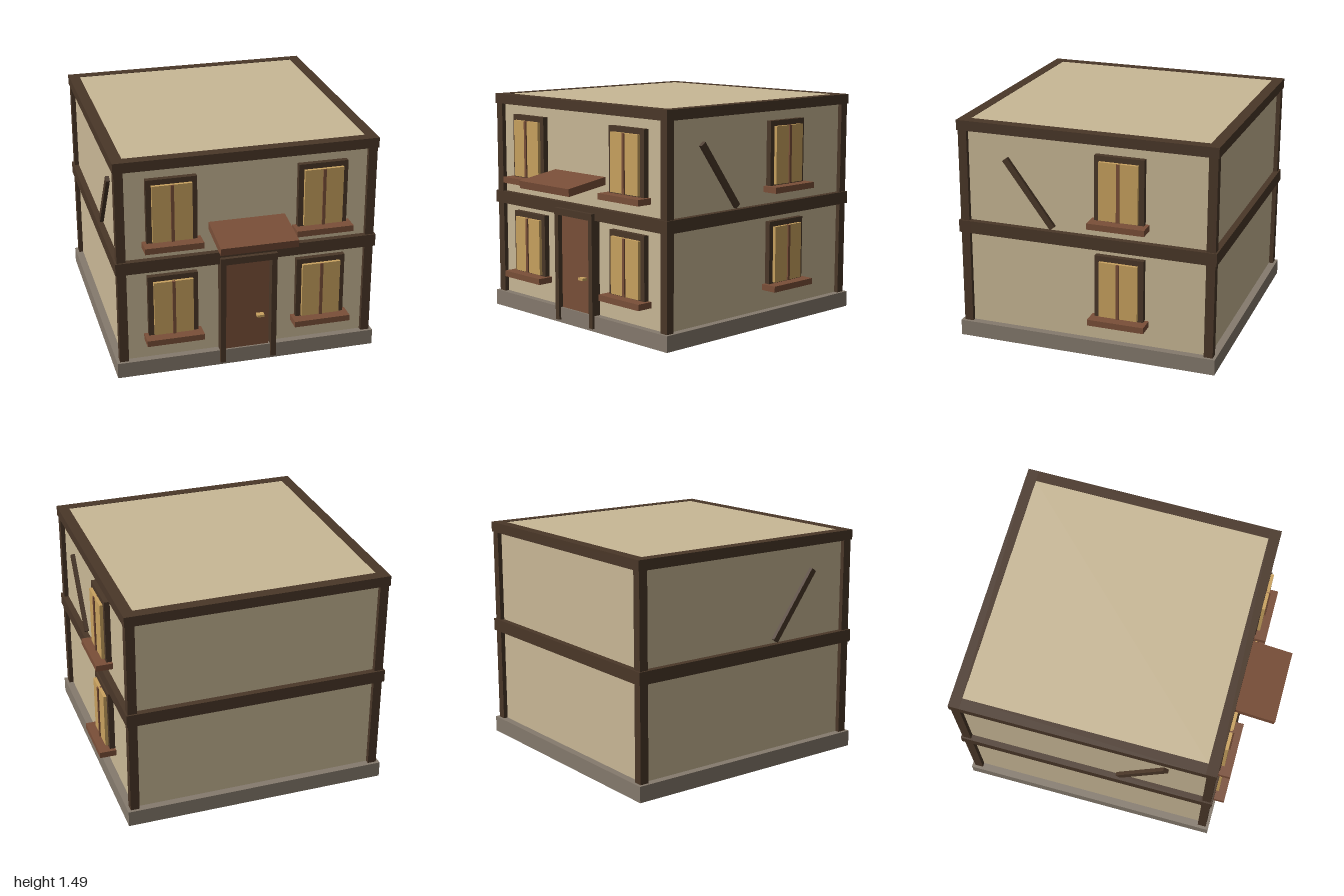
import * as THREE from 'three';

const mat = (name, color) => {
  const m = new THREE.MeshStandardMaterial({ color });
  m.name = name;
  return m;
};

export function createModel() {
  const plaster = mat('plaster', 0xc9b896);
  const timber = mat('darkTimber', 0x4a3728);
  const wood = mat('wood', 0x7a4f38);
  const glow = mat('amberGlass', 0xc9a25f);
  const stone = mat('stone', 0x857a6d);

  const house = new THREE.Group();
  house.name = 'house';

  const box = (parent, name, material, [w, h, d], [x, y, z]) => {
    const mesh = new THREE.Mesh(new THREE.BoxGeometry(w, h, d), material);
    mesh.name = name;
    mesh.position.set(x, y, z);
    parent.add(mesh);
    return mesh;
  };

  // Centre and size of the wall block
  const CX = -0.034, CZ = -0.128, W = 1.636, D = 1.646;
  const frontZ = CZ + D / 2, sideX = CX + W / 2;

  box(house, 'walls', plaster, [W, 1.485, D], [CX, 0.7425, CZ]);
  box(house, 'foundation', stone, [1.734, 0.105, 1.742], [CX, 0.0535, CZ]);

  // Corner posts
  for (const sx of [-1, 1]) for (const sz of [-1, 1]) {
    box(house, 'cornerPost', timber, [0.058, 1.34, 0.058],
      [CX + sx * W / 2, 0.77, CZ + sz * D / 2]);
  }

  // Rings of beams at floor and roof level
  const beamRing = (name, y, h, t) => {
    for (const s of [-1, 1]) {
      box(house, name, timber, [W + t, h, t], [CX, y, CZ + s * D / 2]);
      box(house, name, timber, [t, h, D - t], [CX + s * W / 2, y, CZ]);
    }
  };
  beamRing('floorBeam', 0.774, 0.082, 0.08);
  beamRing('roofBeam', 1.454, 0.066, 0.072);

  // Window facing +z, its origin on the wall surface
  const addWindow = (x, y, z, h, turn) => {
    const g = new THREE.Group();
    g.name = 'window';
    box(g, 'windowFrame', timber, [0.325, h, 0.072], [0, 0, 0]);
    box(g, 'windowPane', glow, [0.256, h - 0.07, 0.04], [0, 0, 0.037]);
    box(g, 'windowMullion', wood, [0.02, h - 0.07, 0.03], [0, 0, 0.051]);
    box(g, 'windowSill', wood, [0.376, 0.04, 0.11], [0, -h / 2 + 0.006, 0.055]);
    g.position.set(x, y, z);
    g.rotation.y = turn;
    house.add(g);
  };
  for (const [y, h] of [[0.475, 0.442], [1.132, 0.45]]) {
    for (const x of [-0.526, 0.455]) addWindow(x, y, frontZ, h, 0);
    addWindow(sideX, y, -0.36, h, Math.PI / 2);
  }

  // Door with its frame and handle
  box(house, 'door', wood, [0.292, 0.69, 0.06], [-0.037, 0.39, 0.7]);
  for (const s of [-1, 1]) {
    box(house, 'doorPost', timber, [0.036, 0.715, 0.1], [CX + s * 0.17, 0.3795, 0.71]);
  }
  box(house, 'doorLintel', timber, [0.376, 0.045, 0.1], [CX, 0.755, 0.712]);
  box(house, 'doorHandle', glow, [0.048, 0.016, 0.04], [0.046, 0.336, 0.748]);

  // Sloped canopy above the door
  const canopy = box(house, 'canopy', wood, [0.5, 0.05, 0.34], [CX, 0.973, 0.828]);
  canopy.rotation.x = 0.15;

  // Diagonal braces on both side walls
  for (const s of [-1, 1]) {
    const brace = box(house, 'diagonalBrace', timber, [0.05, 0.53, 0.04],
      [CX + s * W / 2, 1.045, 0.25]);
    brace.rotation.x = 0.64;
  }

  return house;
}
